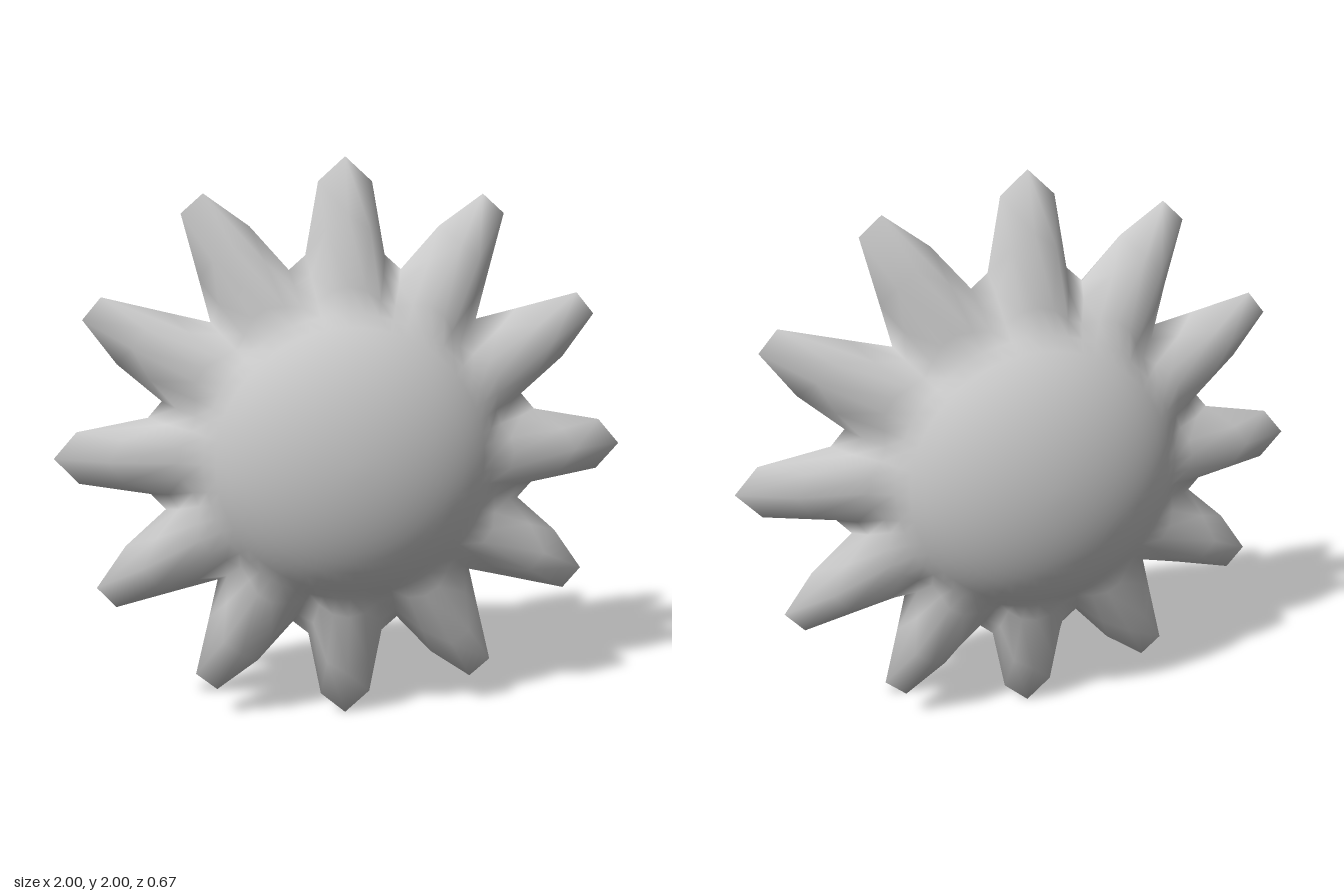
import * as THREE from 'three';
import { mergeVertices } from 'three/addons/utils/BufferGeometryUtils.js';

const STEP = Math.PI / 32;        // angle between mesh lines
const BODY_RADIUS = 0.55;         // flattened ball, seen from the front
const BODY_DEPTH = 0.333;
const RAY_SPREAD = 1.4 * STEP;    // how quickly rays fade away from the rim

// Rim radius from an axis to the diagonal; mirrored this gives twelve rays
const RIM = [1, 0.924, 0.692, 0.658, 0.838, 0.998, 0.981, 0.775, 0.647];

function rimRadius(angle) {
  const k = ((Math.round(angle / STEP) % 16) + 16) % 16;
  return RIM[Math.min(k, 16 - k)];
}

function sunGeometry() {
  // Sphere with its poles on the front and back
  let geometry = new THREE.SphereGeometry(1, 64, 32);
  geometry.rotateX(Math.PI / 2);
  const position = geometry.attributes.position;
  const v = new THREE.Vector3();
  for (let i = 0; i < position.count; i++) {
    v.fromBufferAttribute(position, i).normalize();
    const flat = Math.hypot(v.x, v.y);
    const tilt = Math.atan2(v.z, flat);
    // Ellipsoid radius plus rays that swell out near the rim
    const body = 1 / Math.hypot(flat / BODY_RADIUS, v.z / BODY_DEPTH);
    const ray = rimRadius(Math.atan2(v.y, v.x)) - BODY_RADIUS;
    const fade = Math.exp(-((tilt / RAY_SPREAD) ** 2));
    v.multiplyScalar(body + ray * fade);
    position.setXYZ(i, v.x, v.y, v.z);
  }
  // Weld the seam so the shading is smooth all round
  geometry.deleteAttribute('uv');
  geometry.deleteAttribute('normal');
  geometry = mergeVertices(geometry, 1e-4);
  geometry.computeVertexNormals();
  return geometry;
}

export function createModel() {
  const group = new THREE.Group();
  group.name = 'sun';
  const material = new THREE.MeshStandardMaterial({ color: 0xcccccc });
  const sun = new THREE.Mesh(sunGeometry(), material);
  sun.name = 'sunBodyWithRays';
  sun.position.y = 1;
  group.add(sun);
  return group;
}
